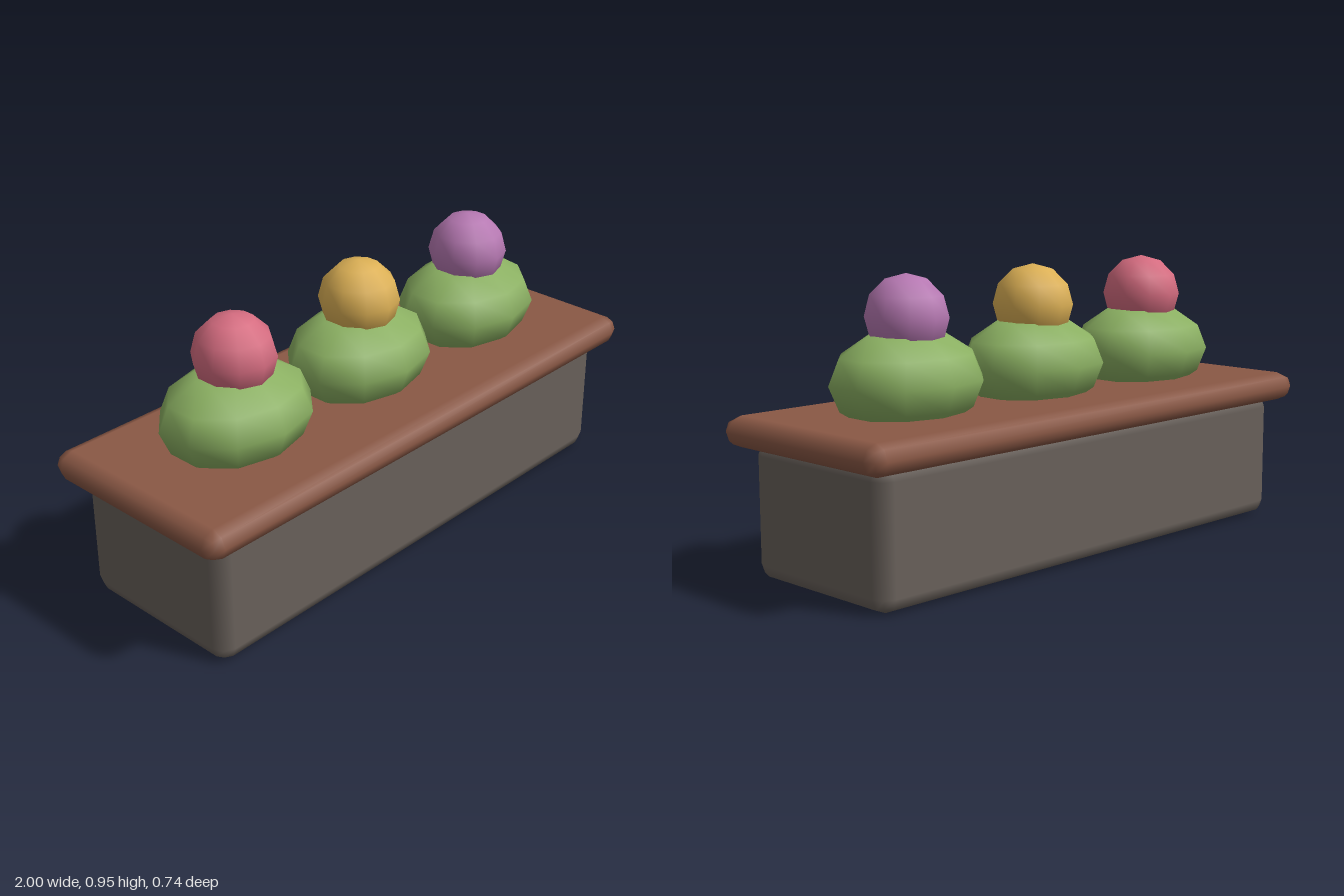
import * as THREE from 'three';
import { RoundedBoxGeometry } from 'three/addons/geometries/RoundedBoxGeometry.js';

function material(name, color) {
  const m = new THREE.MeshStandardMaterial({ color });
  m.name = name;
  return m;
}

function part(name, geometry, mat, x, y, z) {
  const mesh = new THREE.Mesh(geometry, mat);
  mesh.name = name;
  mesh.position.set(x, y, z);
  return mesh;
}

// Ten-sided ball with a vertex row facing front and back
const ball = (r) => new THREE.SphereGeometry(r, 10, 6).rotateY(Math.PI / 2);

export function createModel() {
  const model = new THREE.Group();
  model.name = 'flowerPlanter';

  const stone = material('stone grey', 0x69615b);
  const wood = material('wood brown', 0x8a5845);
  const leaf = material('leaf green', 0x8bb062);
  const blooms = [
    material('bloom pink', 0xd56c80),
    material('bloom yellow', 0xdcb055),
    material('bloom purple', 0xb678b2),
  ];

  // Trough and overhanging rim, both with a bevelled edge
  model.add(part('trough', new RoundedBoxGeometry(1.85, 0.445, 0.616, 1, 0.05), stone, 0, 0.2225, 0));
  model.add(part('rim', new RoundedBoxGeometry(2, 0.1, 0.738, 1, 0.05), wood, 0, 0.47, 0));

  // Three flattened bushes, each topped by a round bloom
  const bushGeometry = ball(0.27).scale(1, 0.605, 0.8);
  const bloomGeometry = ball(0.135);
  blooms.forEach((mat, i) => {
    const plant = new THREE.Group();
    plant.name = 'plant' + (i + 1);
    plant.position.x = (i - 1) * 0.555;
    plant.add(part('bush', bushGeometry, leaf, 0, 0.62, 0));
    plant.add(part('bloom', bloomGeometry, mat, 0, 0.816, 0));
    model.add(plant);
  });

  return model;
}
